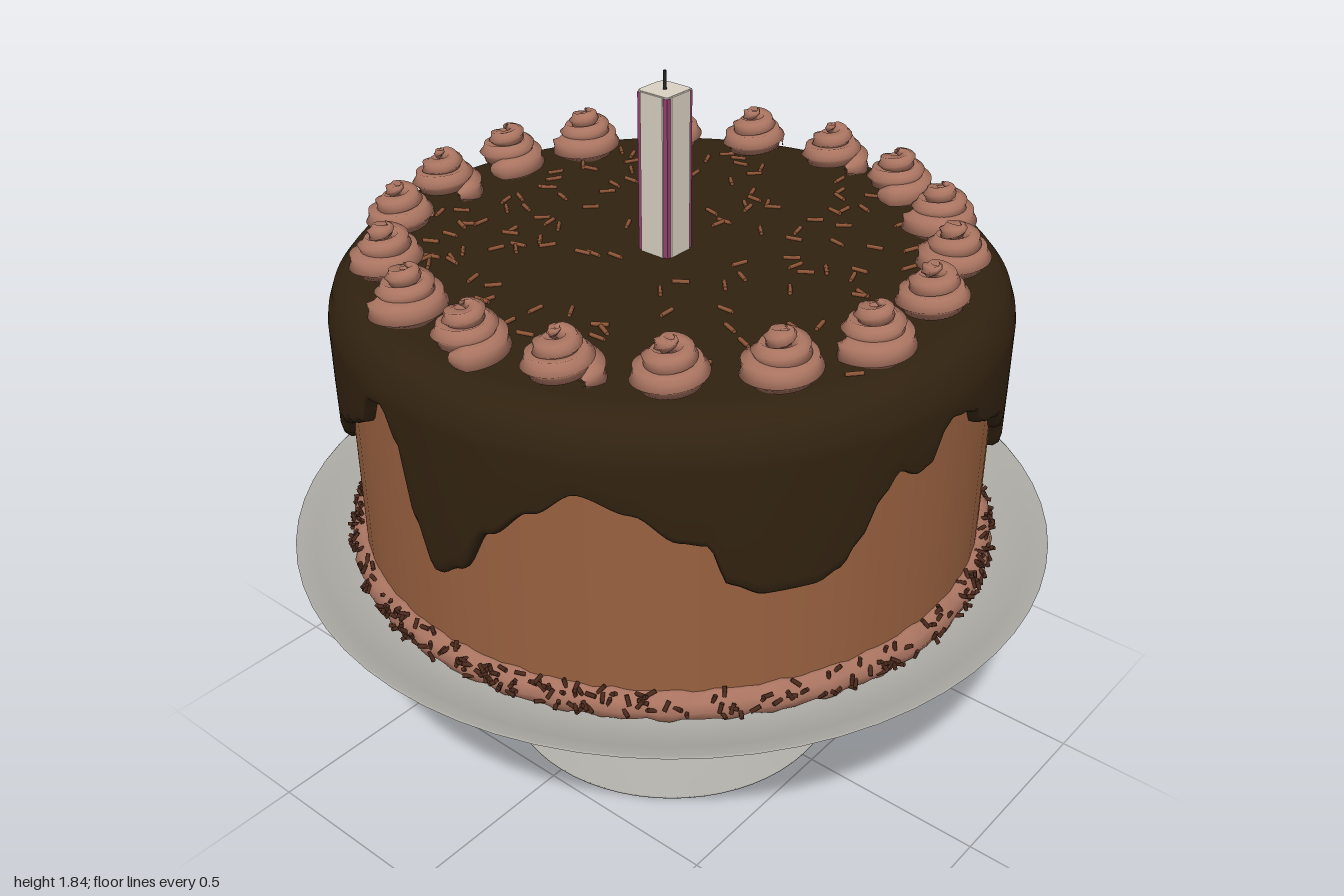
import * as THREE from 'three';
import { mergeGeometries, mergeVertices } from 'three/addons/utils/BufferGeometryUtils.js';

const mat = (name, color, side = THREE.FrontSide) => {
  const m = new THREE.MeshStandardMaterial({ color, side });
  m.name = name;
  return m;
};

function makeRandom(seed) {
  return () => {
    seed = (seed * 16807) % 2147483647;
    return seed / 2147483647;
  };
}

// Lower edge of the icing: angle in degrees from the front, height
const DRIPS = [
  [0, 1.235], [5, 1.21], [7, 1.16], [12, 1.13], [17, 1.1], [23, 1.02], [27, 0.93], [33, 0.89], [37, 0.93],
  [40, 1.05], [43, 1.18], [48, 1.23], [55, 1.2], [65, 1.24], [70, 1.23], [73, 1.15], [77, 1.1], [79, 1.0],
  [84, 0.985], [91, 0.99], [97, 0.98], [99.5, 0.95], [102, 1.09], [106, 1.15], [112, 1.19], [118, 1.23],
  [124, 1.23], [127, 1.18], [130, 1.11], [136, 1.07], [139, 0.99], [143, 0.89], [148, 0.87], [153, 0.92],
  [157, 1.07], [162, 1.12], [170, 1.2], [180, 1.22], [190, 1.22], [196, 1.18], [199, 1.12], [203, 1.11],
  [209, 1.03], [215, 0.96], [223, 0.91], [228, 0.92], [234, 0.98], [240, 1.06], [246, 1.11], [252, 1.155],
  [256, 1.25], [260, 1.26], [264, 1.17], [266, 1.0], [270, 0.87], [275, 0.91], [281, 1.04], [289, 1.13],
  [296, 1.2], [304, 1.16], [311, 1.09], [315, 1.08], [318.5, 0.97], [324, 0.935], [332, 0.935], [336, 0.96],
  [339, 1.02], [343, 1.12], [346, 1.17], [350, 1.14], [353, 1.15], [355, 1.22], [357, 1.245], [360, 1.235],
];

function dripEdge(deg) {
  let i = 0;
  while (i < DRIPS.length - 2 && DRIPS[i + 1][0] < deg) i++;
  const [a, ya] = DRIPS[i], [b, yb] = DRIPS[i + 1];
  return THREE.MathUtils.lerp(ya, yb, THREE.MathUtils.smoothstep(deg, a, b));
}

const lathe = (pairs, segments = 64) =>
  new THREE.LatheGeometry(pairs.map(([r, y]) => new THREE.Vector2(r, y)), segments);

function smooth(geometry) {
  geometry.deleteAttribute('uv');
  geometry.deleteAttribute('normal');
  const g = mergeVertices(geometry, 1e-5);
  g.computeVertexNormals();
  return g;
}

// Lathe whose rows below y = 1 are stretched between the drip edge and the side
function icingGeometry() {
  const g = lathe([
    [0.8, 0], [0.828, 0.005], [0.842, 0.04], [0.847, 0.12], [0.848, 0.5], [0.848, 0.99],
    [0.844, 1.3], [0.832, 1.335], [0.81, 1.362], [0.78, 1.378], [0.74, 1.385], [0.4, 1.385], [0, 1.385],
  ], 360);
  const p = g.attributes.position, uv = g.attributes.uv;
  for (let i = 0; i < p.count; i++) {
    const t = p.getY(i);
    if (t < 1) p.setY(i, THREE.MathUtils.lerp(dripEdge(uv.getX(i) * 360), 1.28, t));
  }
  return smooth(g);
}

// Ridged, tapering tube wound up a cone
function swirlGeometry() {
  const turns = 3.1, pts = [];
  for (let i = 0; i <= 48; i++) {
    const t = i / 48, a = t * turns * Math.PI * 2, r = 0.068 * Math.pow(1 - t, 0.8);
    pts.push(new THREE.Vector3(Math.sin(a) * r, 0.028 + 0.112 * t, Math.cos(a) * r));
  }
  const path = new THREE.CatmullRomCurve3(pts);
  const g = new THREE.TubeGeometry(path, 80, 0.036, 12);
  const p = g.attributes.position, uv = g.attributes.uv;
  const v = new THREE.Vector3(), c = new THREE.Vector3();
  for (let i = 0; i < p.count; i++) {
    const u = uv.getX(i), ridge = Math.round(uv.getY(i) * 12) % 2 ? 0.78 : 1.05;
    const taper = (1 - 0.45 * u) * Math.min(1, (1 - u) * 12, 0.3 + u * 14);
    path.getPointAt(u, c);
    v.fromBufferAttribute(p, i).sub(c).multiplyScalar(ridge * taper).add(c);
    p.setXYZ(i, v.x, v.y, v.z);
  }
  return smooth(g);
}

// Lumpy piped ring round the foot of the cake
function borderGeometry() {
  const R = 0.812, g = new THREE.TorusGeometry(R, 0.04, 10, 200);
  g.rotateX(Math.PI / 2);
  const p = g.attributes.position;
  for (let i = 0; i < p.count; i++) {
    const x = p.getX(i), y = p.getY(i), z = p.getZ(i);
    const a = Math.atan2(x, z), r = Math.hypot(x, z);
    const k = 1 + 0.07 * Math.sin(a * 41) + 0.06 * Math.sin(a * 67 + y * 60);
    const s = (R + (r - R) * k) / r;
    p.setXYZ(i, x * s, y * k, z * s);
  }
  return smooth(g);
}

function sprinkles(count, radius, length, place) {
  const list = [], o = new THREE.Object3D();
  for (let i = 0; i < count; i++) {
    const g = new THREE.CylinderGeometry(radius, radius, length, 5);
    place(o);
    o.updateMatrix();
    list.push(g.applyMatrix4(o.matrix));
  }
  return mergeGeometries(list);
}

export function createModel() {
  const model = new THREE.Group();
  const rand = makeRandom(4711);
  const stoneGrey = mat('stand grey', 0xaeaca6);
  const sponge = mat('cake brown', 0x98603f);
  const chocolate = mat('dark icing', 0x312210);
  const cream = mat('piped cream', 0xaa7461);
  const topSprinkle = mat('light sprinkle', 0x8f5638);
  const sideSprinkle = mat('dark sprinkle', 0x4c2a1c);
  const wax = mat('candle wax', 0xd8d0c2);
  const pink = mat('candle stripe', 0x98406f);
  const black = mat('wick', 0x222222);
  const add = (name, geometry, material, parent = model) => {
    const m = new THREE.Mesh(geometry, material);
    m.name = name;
    parent.add(m);
    return m;
  };
  const group = (name) => {
    const g = new THREE.Group();
    g.name = name;
    model.add(g);
    return g;
  };

  // Cake stand: flat foot, curved stem, dished plate
  const stand = group('cakeStand');
  const stem = new THREE.SplineCurve([
    [0.47, 0.004], [0.34, 0.04], [0.2, 0.095], [0.1, 0.18], [0.068, 0.27], [0.068, 0.37],
    [0.09, 0.44], [0.17, 0.497], [0.32, 0.527], [0.6, 0.552], [0.8, 0.565], [0.86, 0.574],
  ].map(([x, y]) => new THREE.Vector2(x, y)));
  add('footBase', lathe([[0, 0], [0.47, 0], [0.47, 0.004]]), stoneGrey, stand);
  add('stem', new THREE.LatheGeometry(stem.getPoints(50), 64), stoneGrey, stand);
  add('plateRim', lathe([[0.86, 0.574], [0.92, 0.6], [0.985, 0.628], [1, 0.636]]), stoneGrey, stand);
  add('plateTop', lathe([[1, 0.636], [0.995, 0.64], [0.95, 0.626], [0.9, 0.608], [0.84, 0.6], [0, 0.6]]), stoneGrey, stand);

  // Cake body and icing
  const body = add('cakeBody', new THREE.CylinderGeometry(0.815, 0.815, 0.74, 64), sponge);
  body.position.y = 0.97;
  add('icing', icingGeometry(), chocolate);

  // Bottom border and its sprinkles
  add('bottomBorder', borderGeometry(), cream).position.y = 0.632;
  add('borderSprinkles', sprinkles(480, 0.0055, 0.026, (o) => {
    const a = rand() * Math.PI * 2, b = -0.35 + rand() * 1.6, r = 0.812 + 0.042 * Math.cos(b);
    o.position.set(Math.sin(a) * r, 0.632 + 0.042 * Math.sin(b), Math.cos(a) * r);
    o.rotation.set(rand() * 6.3, rand() * 6.3, rand() * 6.3);
  }), sideSprinkle);

  // Ring of piped swirls
  const swirls = group('swirls');
  const swirl = swirlGeometry();
  for (let i = 0; i < 18; i++) {
    const a = ((10 + i * 20) * Math.PI) / 180;
    const m = add('swirl', swirl, cream, swirls);
    m.position.set(Math.sin(a) * 0.69, 1.378, Math.cos(a) * 0.69);
    m.rotation.y = a * 3.7;
  }

  // Sprinkles scattered on the top
  add('topSprinkles', sprinkles(150, 0.0055, 0.042, (o) => {
    const a = rand() * Math.PI * 2, r = 0.1 + 0.66 * Math.sqrt(rand()) * (0.75 + 0.25 * rand());
    o.position.set(Math.sin(a) * r, 1.389, Math.cos(a) * r);
    o.rotation.set(Math.PI / 2, 0, rand() * Math.PI);
  }), topSprinkle);

  // Square candle with striped corners
  const candle = group('candle');
  candle.position.set(0, 1.58, -0.022);
  add('cornerStripes', new THREE.BoxGeometry(0.092, 0.42, 0.092), pink, candle);
  add('waxFrontBack', new THREE.BoxGeometry(0.068, 0.426, 0.1), wax, candle);
  add('waxSides', new THREE.BoxGeometry(0.1, 0.426, 0.068), wax, candle);
  add('waxTop', new THREE.BoxGeometry(0.09, 0.006, 0.09), wax, candle).position.y = 0.211;
  add('wick', new THREE.CylinderGeometry(0.004, 0.005, 0.05, 6), black, candle).position.y = 0.235;

  return model;
}
